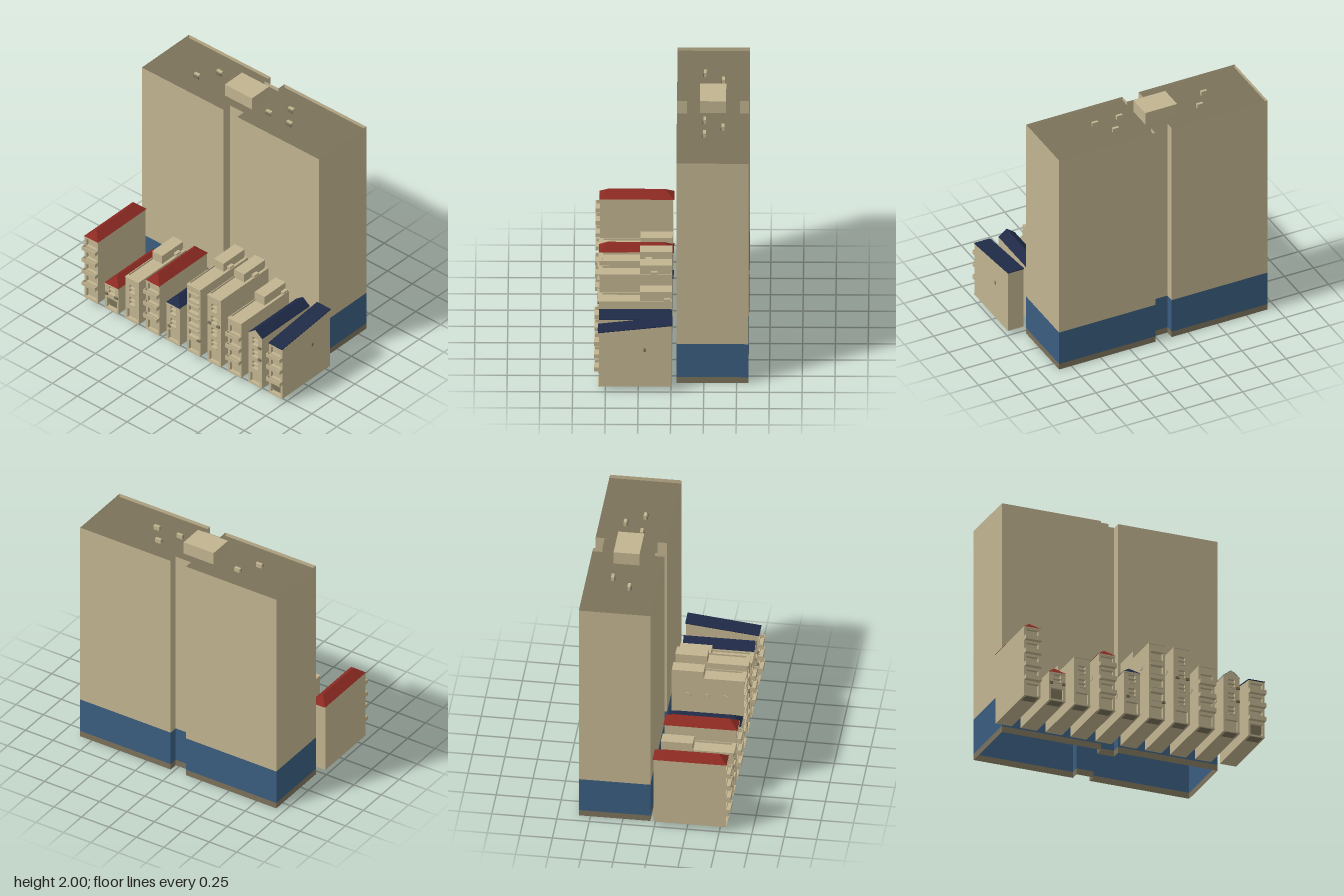
import * as THREE from 'three';
import { ConvexGeometry } from 'three/addons/geometries/ConvexGeometry.js';

const mat = (name, color) => {
  const m = new THREE.MeshStandardMaterial({ color, side: THREE.DoubleSide, flatShading: true });
  m.name = name;
  return m;
};

export function createModel() {
  const tan = mat('sandstone', 0xc2b490);
  const dark = mat('dark stone', 0x7b725a);
  const blue = mat('blue cladding', 0x3a5d80);
  const red = mat('red tiles', 0x8c2a22);
  const navy = mat('navy slate', 0x1f2a47);

  const root = new THREE.Group();
  root.name = 'cityBlock';

  const add = (parent, name, geo, m) => {
    const mesh = new THREE.Mesh(geo, m);
    mesh.name = name;
    parent.add(mesh);
    return mesh;
  };
  // Box given by its lower and upper limits
  const box = (parent, name, m, x0, x1, y0, y1, z0, z1) => {
    const b = add(parent, name, new THREE.BoxGeometry(x1 - x0, y1 - y0, z1 - z0), m);
    b.position.set((x0 + x1) / 2, (y0 + y1) / 2, (z0 + z1) / 2);
    return b;
  };
  const hull = (parent, name, m, pts) =>
    add(parent, name, new ConvexGeometry(pts.map(p => new THREE.Vector3(...p))), m);
  const rect = (T, x0, x1, y0, y1) =>
    new T([[x0, y0], [x1, y0], [x1, y1], [x0, y1]].map(p => new THREE.Vector2(...p)));

  // ---- Tower: hollow walls on a notched plan, open below ----
  const tower = new THREE.Group();
  tower.name = 'tower';
  root.add(tower);
  const plan = [[-0.93, -0.04], [-0.108, -0.04], [-0.108, -0.115], [0.032, -0.115], [0.032, -0.04], [0.856, -0.04],
    [0.856, -0.59], [0.032, -0.59], [0.032, -0.52], [-0.108, -0.52], [-0.108, -0.59], [-0.93, -0.59]];
  const wall = (name, m, y0, y1) => {
    const pos = [];
    plan.forEach(([ax, az], i) => {
      const [bx, bz] = plan[(i + 1) % plan.length];
      pos.push(ax, y0, az, bx, y0, bz, bx, y1, bz, ax, y0, az, bx, y1, bz, ax, y1, az);
    });
    const g = new THREE.BufferGeometry();
    g.setAttribute('position', new THREE.Float32BufferAttribute(pos, 3));
    g.computeVertexNormals();
    add(tower, name, g, m);
  };
  wall('plinth', dark, 0, 0.05);
  wall('lowerCladding', blue, 0.05, 0.34);
  wall('upperWalls', tan, 0.34, 1.925);
  const roofShape = new THREE.Shape(plan.map(([x, z]) => new THREE.Vector2(x, -z)));
  add(tower, 'roofDeck', new THREE.ShapeGeometry(roofShape).rotateX(-Math.PI / 2).translate(0, 1.895, 0), dark);
  box(tower, 'roofPlantRoom', tan, -0.245, 0.028, 1.895, 2, -0.415, -0.215);
  for (const [x, z] of [[-0.555, -0.25], [-0.45, -0.39], [0.168, -0.25], [0.272, -0.39], [0.376, -0.25]]) {
    box(tower, 'roofVent', tan, x - 0.025, x + 0.025, 1.895, 1.93, z - 0.014, z + 0.008);
    box(tower, 'roofVentStep', dark, x - 0.025, x + 0.025, 1.895, 1.918, z + 0.008, z + 0.016);
  }

  // ---- Row houses ----
  const H = 0.067, Y0 = 0.045, ZB = -0.005, ZF = 0.55, ZW = 0.525;

  // Balcony: slab with three low walls
  const balcony = (g, y, w, h = 0.035) => {
    const z1 = 0.585, t = 0.006;
    box(g, 'balconyFloor', tan, -w, w, y, y + t, ZF, z1);
    box(g, 'balconyFront', tan, -w, w, y, y + h, z1 - t, z1);
    for (const s of [-1, 1])
      box(g, 'balconySide', tan, s * w - (s > 0 ? t : 0), s * w + (s > 0 ? 0 : t), y, y + h, ZF, z1 - t);
  };

  const hipRoof = (g, m, y, top) => hull(g, 'hipRoof', m, [
    [-0.069, y, -0.015], [0.069, y, -0.015], [-0.069, y, 0.556], [0.069, y, 0.556],
    [0, top, 0.06], [0, top, 0.49]]);

  // Flat roof: parapet, rear stair block and a small hatch
  const flatRoof = (g, h, top, hatchX, hatchZ) => {
    const rim = rect(THREE.Shape, -H, H, -ZW, -ZB);
    rim.holes.push(rect(THREE.Path, -H + 0.006, H - 0.006, -ZW, -ZB - 0.006));
    add(g, 'parapet', new THREE.ExtrudeGeometry(rim, { depth: 0.015, bevelEnabled: false })
      .rotateX(-Math.PI / 2).translate(0, h - 0.015, 0), tan);
    box(g, 'stairBlock', tan, -H, 0.033, h - 0.015, top, ZB, 0.24);
    box(g, 'roofHatch', tan, hatchX - 0.014, hatchX + 0.014, h - 0.015, h + 0.015, hatchZ - 0.025, hatchZ + 0.025);
    box(g, 'cornice', tan, -H, H, h - 0.008, h, ZF, 0.558);
  };

  // kind: roof type; win: window half width; bal: balcony heights; ac: wall units
  const houses = [
    { kind: 'hip', m: red, h: 0.625, top: 0.682, win: 0.05, bal: [0.175, 0.29, 0.4, 0.51], bw: H },
    { kind: 'hip', m: red, h: 0.283, top: 0.345, win: 0.03, garage: true, ac: [[-0.05, 0.19], [0.05, 0.19]] },
    { kind: 'flat', h: 0.445, top: 0.505, win: 0.028, hatch: [0.047, 0.08] },
    { kind: 'hip', m: red, h: 0.51, top: 0.57, win: 0.05, bal: [0.175, 0.29, 0.4], bw: H },
    { kind: 'hip', m: navy, h: 0.4, top: 0.457, win: 0.028, ac: [[-0.035, 0.19]] },
    { kind: 'flat', h: 0.675, top: 0.735, win: 0.05, hatch: [0.047, 0.175], ac: [[0.053, 0.19]], ledges: true },
    { kind: 'flat', h: 0.675, top: 0.735, win: 0.028, hatch: [0.05, 0.13], ac: [[-0.04, 0.42], [0.045, 0.42]] },
    { kind: 'flat', h: 0.557, top: 0.622, win: 0.05, hatch: [0.05, 0.03], bal: [0.175, 0.29, 0.4], bw: H },
    { kind: 'gable', m: navy, h: 0.515, top: 0.566, win: 0.028, ac: [[0.05, 0.42], [0.05, 0.31]] },
    { kind: 'shed', m: navy, h: 0.513, top: 0.582, win: 0.05, garage: true, bal: [0.175, 0.29, 0.4], bw: H },
  ];

  houses.forEach((o, i) => {
    const g = new THREE.Group();
    g.name = 'rowHouse' + (i + 1);
    g.position.x = -0.929 + i * 0.2064;
    root.add(g);

    // Main volume
    const rise = o.kind === 'shed' ? o.top - 0.004 : o.h;
    if (o.kind === 'flat') box(g, 'body', tan, -H, H, Y0, o.h - 0.015, ZB, ZW);
    else {
      const pts = [];
      for (const x of [-H, H]) pts.push([x, Y0, ZB], [x, Y0, ZW], [x, rise, ZB], [x, o.h, ZW]);
      if (o.kind === 'gable') pts.push([0, o.top, ZB], [0, o.top, ZW]);
      hull(g, 'body', tan, pts);
    }

    // Front layer with door and window openings
    const face = o.kind === 'gable'
      ? new THREE.Shape([[-H, Y0], [H, Y0], [H, o.h], [0, o.top], [-H, o.h]].map(p => new THREE.Vector2(...p)))
      : rect(THREE.Shape, -H, H, Y0, o.h);
    face.holes.push(rect(THREE.Path, -0.05, 0.05, 0.06, 0.15));
    for (let y = 0.2; y + 0.07 < o.h; y += 0.113) {
      face.holes.push(rect(THREE.Path, -o.win, o.win, y, y + 0.065));
      if (!o.bal) box(g, 'windowSill', tan, -o.win, o.win, y - 0.008, y, ZF, ZF + 0.008);
      if (o.ledges) box(g, 'windowHood', tan, -0.058, 0.058, y + 0.065, y + 0.077, ZF, ZF + 0.014);
      else if (o.win < 0.04) box(g, 'windowBar', tan, -o.win, o.win, y + 0.03, y + 0.036, ZW, ZF);
    }
    add(g, 'facade', new THREE.ExtrudeGeometry(face, { depth: ZF - ZW, bevelEnabled: false }).translate(0, 0, ZW), tan);
    box(g, 'doorStep', tan, -H, H, Y0, 0.055, ZF, ZF + 0.006);
    box(g, 'entranceUnderside', dark, -0.05, 0.05, Y0 - 0.002, Y0, 0.46, 0.545);

    // Shutter with clipped lower corners
    if (o.garage) {
      const s = new THREE.Shape([[-0.038, 0.07], [0.038, 0.07], [0.05, 0.085], [0.05, 0.15], [-0.05, 0.15], [-0.05, 0.085]]
        .map(p => new THREE.Vector2(...p)));
      add(g, 'garageShutter', new THREE.ShapeGeometry(s).translate(0, 0, ZW + 0.003), dark);
    }
    for (const y of o.bal || []) balcony(g, y, o.bw);
    for (const [x, y] of o.ac || []) box(g, 'wallUnit', dark, x - 0.014, x + 0.014, y - 0.009, y + 0.009, ZF, ZF + 0.014);

    // Small units on the side wall
    if (i > 2 && i < 9) for (const z of [0.12, 0.27, 0.41])
      box(g, 'sideUnit', tan, -H - 0.006, -H, o.h - 0.17, o.h - 0.145, z - 0.018, z + 0.018);

    // Roofs
    if (o.kind === 'hip') {
      hipRoof(g, o.m, o.h, o.top);
      box(g, 'eaveBand', tan, -H, H, o.h - 0.014, o.h - 0.002, ZF, 0.558);
    }
    if (o.kind === 'flat') flatRoof(g, o.h, o.top, ...o.hatch);
    if (o.kind === 'gable') for (const s of [-1, 1])
      hull(g, 'gableSlope', o.m, [ZB, ZF - 0.001].flatMap(z => [
        [0, o.top, z], [0, o.top + 0.003, z], [s * 0.069, o.h - 0.002, z], [s * 0.069, o.h + 0.002, z]]));
    if (o.kind === 'shed') {
      hull(g, 'shedRoof', o.m, [-0.069, 0.069].flatMap(x => [
        [x, o.h, 0.556], [x, o.h + 0.006, 0.556], [x, o.top - 0.004, -0.012], [x, o.top + 0.003, -0.012]]));
      box(g, 'sideVent', dark, H, H + 0.003, 0.35, 0.38, 0.19, 0.21);
    }
  });
  return root;
}
